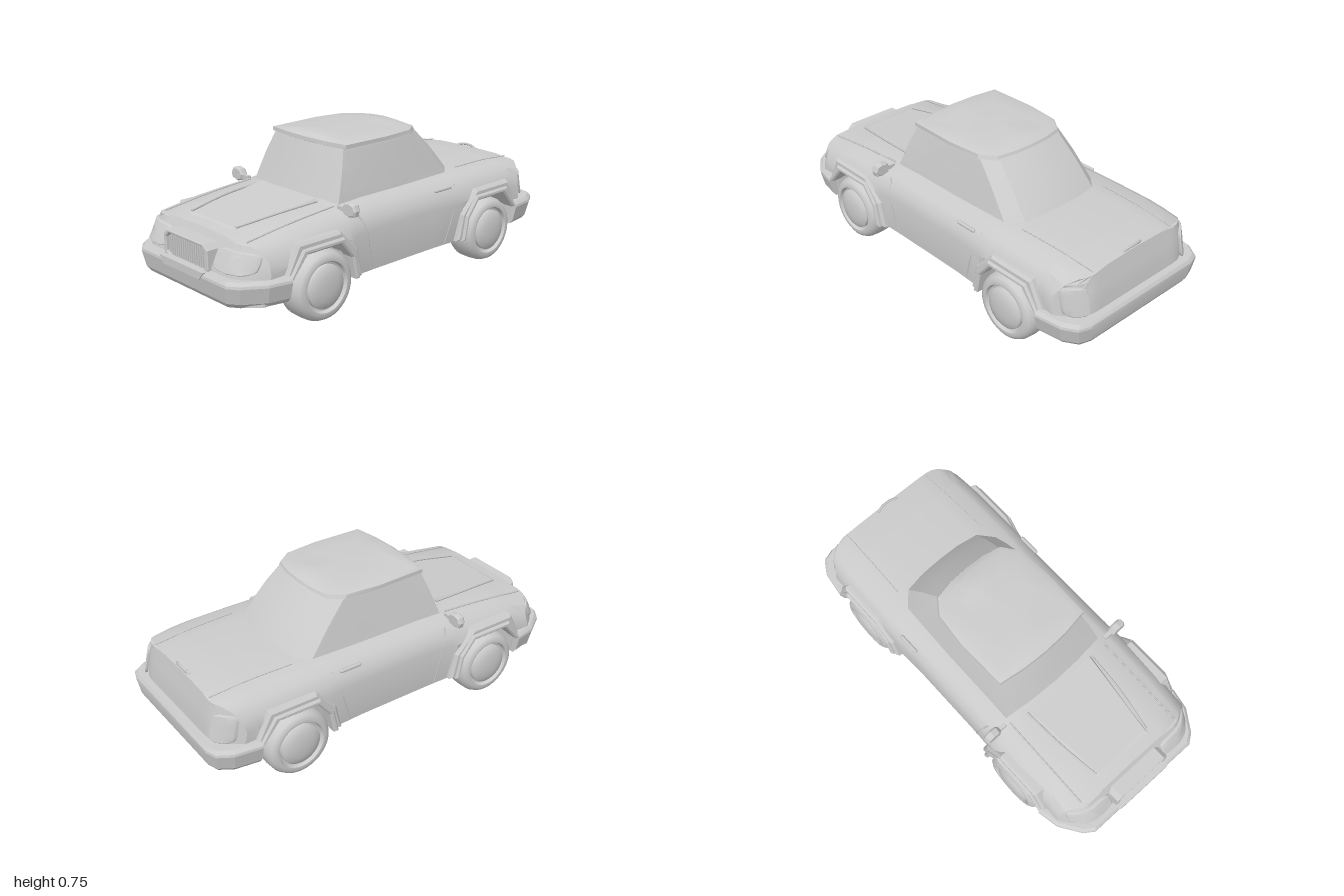
import * as THREE from 'three';
import { toCreasedNormals } from 'three/addons/utils/BufferGeometryUtils.js';
import { ConvexGeometry } from 'three/addons/geometries/ConvexGeometry.js';

const mat = new THREE.MeshStandardMaterial({ color: 0xcccccc, side: THREE.DoubleSide });
const V = (x, y, z) => new THREE.Vector3(x, y, z);

function add(parent, name, geo) {
  const m = new THREE.Mesh(geo, mat);
  m.name = name;
  parent.add(m);
  return m;
}

// Skin through rings of [x, y, z] points
function loft(rings, { closed = true, caps = false, crease = 0.5 } = {}) {
  const pos = [], n = rings[0].length;
  const tri = (...p) => p.forEach(q => pos.push(...q));
  for (let i = 0; i < rings.length - 1; i++)
    for (let j = 0; j < (closed ? n : n - 1); j++) {
      const k = (j + 1) % n, r = rings[i], s = rings[i + 1];
      tri(r[j], r[k], s[k]);
      tri(r[j], s[k], s[j]);
    }
  if (caps) [rings[0], rings[rings.length - 1]].forEach((r, end) => {
    const c = [0, 1, 2].map(a => r.reduce((sum, p) => sum + p[a], 0) / n);
    r.forEach((p, j) => {
      const q = r[(j + 1) % n];
      if (end) tri(c, p, q); else tri(c, q, p);
    });
  });
  const g = new THREE.BufferGeometry();
  g.setAttribute('position', new THREE.Float32BufferAttribute(pos, 3));
  return toCreasedNormals(g, crease);
}

// Completes a half outline (x >= 0, starting and ending on x = 0)
const mirrorRing = half => [...half, ...half.slice(1, -1).reverse().map(([x, y, z]) => [-x, y, z])];

// Extrudes a [z, y] outline sideways from x0 to x1
function sidePlate(points, x0, x1, bevel) {
  const shape = new THREE.Shape(points.map(([z, y]) => new THREE.Vector2(-z, y)));
  const g = new THREE.ExtrudeGeometry(shape, {
    depth: x1 - x0 - bevel, bevelEnabled: true, bevelThickness: bevel, bevelSize: bevel, bevelOffset: -bevel, bevelSegments: 1 });
  return g.rotateY(Math.PI / 2).translate(x0, 0, 0);
}

const strip = (pts, r) => new THREE.TubeGeometry(new THREE.CatmullRomCurve3(pts), 10, r, 5);

// Raked, round-cornered nose and tail
const corner = x => 5 * Math.max(0, Math.abs(x) - 0.27) ** 2;
const noseZ = (x, y) => 0.965 - 0.5 * Math.max(0, y - 0.27) - corner(x);
const tailZ = (x, y) => -(0.965 - 0.22 * Math.max(0, y - 0.27) - corner(x));

// Half cross-section: w half width, top deck height, a height of the sill or arch
function section(w, top, a) {
  const y = d => Math.max(a, top - d);
  return [[0, 0.148], [0.29, 0.15], [0.29, a], [w - 0.015, a], [w, y(0.13)], [w - 0.015, y(0.08)],
    [w - 0.045, y(0.035)], [w - 0.09, y(0.01)], [0.2, top], [0, top + 0.005]];
}

function buildBody(car) {
  const S = 0.15;
  const stations = [ // z, half width, top, arch
    [-0.775, 0.425, 0.475, S], [-0.77, 0.425, 0.475, 0.25], [-0.685, 0.43, 0.478, 0.35], [-0.475, 0.43, 0.48, 0.35],
    [-0.405, 0.43, 0.48, 0.27], [-0.385, 0.43, 0.48, S], [-0.2, 0.422, 0.48, S], [0.2, 0.422, 0.48, S],
    [0.33, 0.425, 0.475, S], [0.36, 0.43, 0.47, S], [0.38, 0.43, 0.468, 0.27], [0.45, 0.43, 0.464, 0.35],
    [0.66, 0.43, 0.447, 0.35], [0.74, 0.425, 0.438, 0.25], [0.745, 0.425, 0.437, S]];
  const tail = section(0.425, 0.46, S), nose = section(0.425, 0.417, S);
  const ends = (half, f) => mirrorRing(half.map(([x, y]) => [x, y, f(x, y)]));
  add(car, 'body', loft([ends(tail, tailZ),
    ...stations.map(([z, w, t, a]) => mirrorRing(section(w, t, a).map(([x, y]) => [x, y, z]))),
    ends(nose, noseZ)]));
  const cap = (half, f, dir) => loft(half.slice(1).map(([w, y]) =>
    Array.from({ length: 21 }, (_, i) => { const x = dir * w * (i / 10 - 1); return [x, y, f(x, y)]; })), { closed: false });
  add(car, 'frontPanel', cap(nose, noseZ, 1));
  add(car, 'rearPanel', cap(tail, tailZ, -1));
}

function buildCabin(car) {
  // Plan ring: front and rear z, half widths at the front, middle and rear corners
  const plan = ([y, zf, zr, xf, xm, xr, crown = 0]) => mirrorRing([
    [0, y + crown, zf + 0.025], [xf * 0.5, y + crown * 0.7, zf + 0.019], [xf, y, zf], [xm, y + crown * 0.2, (zf + zr) / 2],
    [xr, y, zr + 0.09], [xr * 0.78, y, zr + 0.015], [xr * 0.4, y + crown * 0.7, zr - 0.005], [0, y + crown, zr - 0.01]]);
  add(car, 'cabin', loft([[0.43, 0.355, -0.52, 0.31, 0.308, 0.3], [0.48, 0.335, -0.485, 0.3, 0.298, 0.288],
    [0.6, 0.292, -0.385, 0.275, 0.277, 0.268], [0.712, 0.25, -0.275, 0.24, 0.25, 0.245]].map(plan), { caps: true }));
  add(car, 'roof', loft([[0.7, 0.25, -0.278, 0.243, 0.25, 0.248], [0.703, 0.255, -0.28, 0.262, 0.268, 0.254],
    [0.722, 0.253, -0.272, 0.262, 0.268, 0.25], [0.73, 0.225, -0.24, 0.235, 0.24, 0.225, 0.01],
    [0.733, 0.15, -0.16, 0.15, 0.155, 0.15, 0.012]].map(plan), { caps: true }));
}

// Bumper from a half plan of [x, z], dir 1 front, -1 rear
function bumper(halfPlan, dir) {
  const rings = [[0.148, 0.08], [0.17, 0.04], [0.245, 0], [0.257, 0.005], [0.272, 0.035]].map(([y, s]) => {
    const back = halfPlan[halfPlan.length - 1][1];
    const r = mirrorRing([...halfPlan.map(([x, z]) => [x * (1 - s), y, dir * (z - s * 0.35 * (z - back) / 0.25)]), [0, y, dir * back]]);
    return dir > 0 ? r : r.reverse();
  });
  return loft(rings, { caps: true, crease: 0.3 });
}

// Rounded lens that follows the nose or tail surface
function lens(cx, cy, hw, hh, f, dir) {
  const rings = [[1, -0.004], [1, 0.008], [0.93, 0.013], [0.5, 0.014], [0.001, 0.014]].map(([s, off]) =>
    Array.from({ length: 32 }, (_, i) => {
      const a = dir * i / 32 * Math.PI * 2, p = v => Math.sign(v) * Math.abs(v) ** 0.45;
      const x = cx + s * hw * p(Math.cos(a)), y = cy + s * hh * p(Math.sin(a));
      return [x, y, f(x, y) + dir * off];
    }));
  return loft(rings);
}

function buildGrille(car) {
  const octagon = (w, y0, y1, c) => [[-w + c, y0], [w - c, y0], [w, y0 + c], [w, y1 - c], [w - c, y1], [-w + c, y1], [-w, y1 - c], [-w, y0 + c]]
    .map(p => new THREE.Vector2(...p));
  const shape = new THREE.Shape(octagon(0.165, 0.25, 0.39, 0.025));
  shape.holes.push(new THREE.Path(octagon(0.146, 0.265, 0.376, 0.022)));
  add(car, 'grilleFrame', new THREE.ExtrudeGeometry(shape, {
    depth: 0.08, bevelEnabled: true, bevelSize: 0.004, bevelThickness: 0.004, bevelOffset: -0.004, bevelSegments: 1 })).position.z = 0.893;
  for (let i = 0; i < 17; i++) {
    const x = (i - 8) * 0.0165, h = Math.abs(i - 8) === 8 ? 0.08 : 0.112;
    add(car, 'grilleBar', new THREE.BoxGeometry(0.008, h, 0.04).translate(x, 0.32, 0.947));
  }
  const lip = new THREE.Shape([[-0.165, 0.272], [-0.135, 0.235], [0.135, 0.235], [0.165, 0.272]].map(p => new THREE.Vector2(...p)));
  add(car, 'grilleLip', new THREE.ExtrudeGeometry(lip, { depth: 0.03, bevelEnabled: false })).position.z = 0.974;
}

function buildWheel(side, z) {
  const wheel = new THREE.Group();
  wheel.name = 'wheel';
  const turn = (name, pts) => add(wheel, name, toCreasedNormals(
    new THREE.LatheGeometry(pts.map(p => new THREE.Vector2(...p)), 36).toNonIndexed(), 0.7));
  turn('tyre', [[0, 0], [0.13, 0], [0.152, 0.008], [0.164, 0.03], [0.167, 0.08], [0.164, 0.125],
    [0.153, 0.147], [0.135, 0.158], [0.12, 0.157], [0.114, 0.14], [0.1, 0.135], [0, 0.135]]);
  turn('hubcap', [[0.104, 0.13], [0.103, 0.15], [0.093, 0.158], [0.065, 0.167], [0.035, 0.171], [0, 0.172]]);
  wheel.rotation.z = -Math.PI / 2;
  wheel.position.set(0.3, 0.167, z);
  side.add(wheel);
}

function buildSide(car, sign) {
  const side = new THREE.Group();
  side.name = sign > 0 ? 'leftSide' : 'rightSide';
  side.scale.x = sign;
  car.add(side);

  // Wheel arches: a wide fender band and a raised lip, dir turns the long foot towards the door
  const outer = [[0.225, 0.25], [0.15, 0.4], [-0.1, 0.4], [-0.205, 0.29], [-0.235, 0.155]];
  const middle = [[0.21, 0.25], [0.128, 0.372], [-0.11, 0.372], [-0.183, 0.28], [-0.208, 0.155]];
  const inner = [[0.185, 0.25], [0.105, 0.345], [-0.095, 0.345], [-0.16, 0.265], [-0.182, 0.155]];
  for (const [zc, dir] of [[0.55, 1], [-0.575, -1]]) {
    const band = (a, b) => [...a, ...[...b].reverse()].map(([z, y]) => [zc + dir * z, y]);
    add(side, 'fender', sidePlate(band(outer, inner), 0.39, 0.443, 0.012));
    add(side, 'archLip', sidePlate(band(middle, inner), 0.4, 0.456, 0.008));
    buildWheel(side, zc);
  }

  // Door seams, sill, handle and window
  add(side, 'doorSeam', strip([V(0.388, 0.44, 0.305), V(0.42, 0.35, 0.275), V(0.408, 0.16, 0.235)], 0.004));
  add(side, 'doorSeam', strip([V(0.385, 0.44, -0.36), V(0.42, 0.35, -0.335), V(0.41, 0.16, -0.275)], 0.004));
  add(side, 'doorHandle', new THREE.CapsuleGeometry(0.009, 0.1, 3, 8).rotateX(Math.PI / 2).translate(0.4, 0.436, -0.265));
  add(side, 'sideWindow', loft([[[0.298, 0.5, 0.305], [0.296, 0.5, -0.07], [0.288, 0.5, -0.355]],
    [[0.251, 0.69, 0.24], [0.259, 0.69, -0.02], [0.255, 0.69, -0.195]]], { closed: false }));

  // Door mirror
  const face = [[0.362, 0.475], [0.378, 0.503], [0.41, 0.509], [0.44, 0.5], [0.451, 0.472], [0.443, 0.446], [0.405, 0.437], [0.37, 0.447]];
  const mirror = new THREE.Shape(face.map(p => new THREE.Vector2(...p)));
  add(side, 'mirror', new THREE.ExtrudeGeometry(mirror, { depth: 0.02, bevelEnabled: true, bevelSize: 0.008,
    bevelThickness: 0.01, bevelOffset: -0.008, bevelSegments: 1 })).position.z = 0.35;
  add(side, 'mirrorArm', new THREE.BoxGeometry(0.06, 0.02, 0.02).translate(0.355, 0.465, 0.36));

  // Lamps
  add(side, 'headlight', lens(0.28, 0.336, 0.108, 0.046, noseZ, 1));
  add(side, 'tailLight', lens(0.355, 0.345, 0.045, 0.068, tailZ, -1));

  // Bonnet and boot seams
  add(side, 'bonnetSeam', strip([V(0.305, 0.468, 0.37), V(0.305, 0.449, 0.6), V(0.305, 0.416, 0.87)], 0.004));
  add(side, 'bonnetCrease', strip([V(0.212, 0.474, 0.39), V(0.198, 0.462, 0.6), V(0.165, 0.436, 0.82)], 0.006));
  add(side, 'bootSeam', strip([V(0.272, 0.478, -0.5), V(0.265, 0.475, -0.72), V(0.258, 0.459, -0.92)], 0.003));
}

export function createModel() {
  const car = new THREE.Group();
  car.name = 'car';
  buildBody(car);
  buildCabin(car);

  // Raised bonnet centre
  const bulge = [];
  for (const s of [-1, 1]) bulge.push(V(s * 0.215, 0.46, 0.385), V(s * 0.2, 0.484, 0.385),
    V(s * 0.165, 0.42, 0.85), V(s * 0.155, 0.434, 0.82));
  add(car, 'bonnetBulge', new ConvexGeometry(bulge));

  add(car, 'frontBumper', bumper([[0, 1], [0.32, 1], [0.37, 0.965], [0.44, 0.86], [0.462, 0.75]], 1));
  add(car, 'rearBumper', bumper([[0, 1], [0.34, 1], [0.4, 0.98], [0.443, 0.91], [0.462, 0.775]], -1));
  buildGrille(car);
  add(car, 'bootHandle', strip([V(-0.065, 0.462, -0.905), V(-0.03, 0.474, -0.915), V(0.03, 0.474, -0.915), V(0.065, 0.462, -0.905)], 0.007));

  buildSide(car, 1);
  buildSide(car, -1);
  return car;
}
